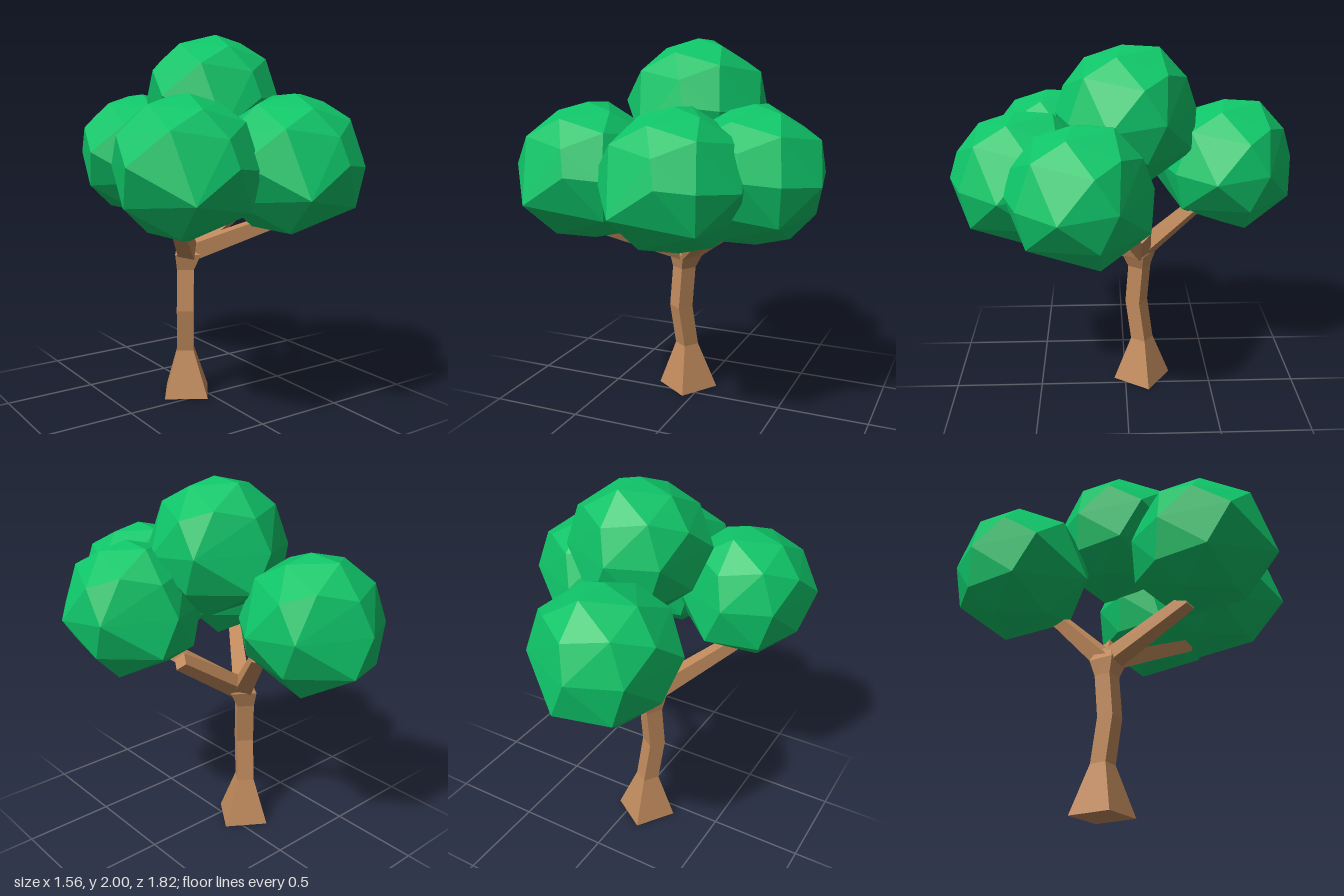
import * as THREE from 'three';
import { ConvexGeometry } from 'three/addons/geometries/ConvexGeometry.js';

const bark = new THREE.MeshStandardMaterial({ color: 0xc08a5c, flatShading: true });
const leaf = new THREE.MeshStandardMaterial({ color: 0x0fc468, flatShading: true });
const V = (x, y, z) => new THREE.Vector3(x, y, z);

function add(parent, name, geometry, material) {
  const mesh = new THREE.Mesh(geometry, material);
  mesh.name = name;
  parent.add(mesh);
  return mesh;
}

// Four-sided trunk: each level is [y, centre x, centre z, corner radius]
function trunkGeometry(levels) {
  const n = levels.length - 1;
  const geo = new THREE.CylinderGeometry(1, 1, 1, 4, n, false, 0.2);
  const p = geo.attributes.position;
  for (let i = 0; i < p.count; i++) {
    const [y, cx, cz, r] = levels[Math.round((p.getY(i) + 0.5) * n)];
    p.setXYZ(i, cx + p.getX(i) * r, y, cz + p.getZ(i) * r);
  }
  const flat = geo.toNonIndexed();
  flat.computeVertexNormals();
  return flat;
}

// Tapering four-sided limb between two points
function branch(parent, name, from, to) {
  const dir = to.clone().sub(from);
  const limb = add(parent, name, new THREE.CylinderGeometry(0.048, 0.066, dir.length(), 4), bark);
  limb.position.copy(from).addScaledVector(dir, 0.5);
  limb.quaternion.setFromUnitVectors(V(0, 1, 0), dir.normalize());
}

// Faceted leaf clump: finely cut crown, broader facets underneath
function clumpGeometry() {
  const corners = [
    // crown
    [0.01, 0.35, 0.02], [0.02, 0.34, -0.17], [0.15, 0.31, 0.05], [-0.19, 0.3, -0.02],
    [-0.04, 0.28, 0.21], [0.2, 0.22, 0.21], [-0.22, 0.19, 0.23], [0.2, 0.23, -0.2],
    [-0.18, 0.22, -0.23], [0.03, 0.19, -0.31], [0.03, 0.15, 0.32],
    // waist
    [0.32, 0.18, -0.08], [0.37, -0.02, 0.09], [0.32, 0.01, -0.19], [0.23, 0, 0.29],
    [0.06, 0.02, 0.36], [-0.17, -0.13, 0.36], [-0.37, 0.03, 0.1], [-0.32, 0.16, -0.08],
    [-0.26, 0.01, -0.25], [-0.02, 0.02, -0.37],
    // underside
    [0.07, -0.18, -0.35], [-0.2, -0.2, -0.26], [0.3, -0.19, -0.1], [0.21, -0.2, 0.25],
    [-0.32, -0.17, -0.02], [0.17, -0.33, -0.1], [-0.12, -0.31, 0.15], [0.02, -0.35, 0],
    [-0.14, -0.31, -0.12],
  ];
  return new ConvexGeometry(corners.map((c) => V(...c)));
}

export function createModel() {
  const tree = new THREE.Group();
  tree.name = 'tree';

  // Flared foot, kinked stem and wide fork
  add(tree, 'trunk', trunkGeometry([
    [0, -0.085, -0.1, 0.17],
    [0.26, -0.092, -0.1, 0.066],
    [0.5, -0.113, -0.067, 0.066],
    [0.73, -0.1, -0.083, 0.066],
    [0.82, -0.085, -0.078, 0.1],
    [0.89, -0.075, -0.078, 0.06],
  ]), bark);

  const fork = V(-0.085, 0.82, -0.08);
  const branches = new THREE.Group();
  branches.name = 'branches';
  tree.add(branches);
  branch(branches, 'rightBranch', fork, V(-0.39, 1.03, 0.33));
  branch(branches, 'frontBranch', fork, V(0.2, 1.05, 0.38));
  branch(branches, 'leftBranch', fork, V(0.34, 1.1, -0.07));
  branch(branches, 'backBranch', fork, V(0.06, 1.14, -0.36));

  // Identical clumps of leaves
  const foliage = new THREE.Group();
  foliage.name = 'foliage';
  tree.add(foliage);
  const clump = clumpGeometry();
  const spots = {
    topLeaves: [0.02, 1.65, 0],
    backLeaves: [-0.12, 1.34, -0.55],
    rightLeaves: [-0.41, 1.34, 0.41],
    frontLeaves: [0.12, 1.34, 0.54],
    leftLeaves: [0.41, 1.34, 0.24],
  };
  for (const [name, spot] of Object.entries(spots)) add(foliage, name, clump, leaf).position.set(...spot);

  return tree;
}
